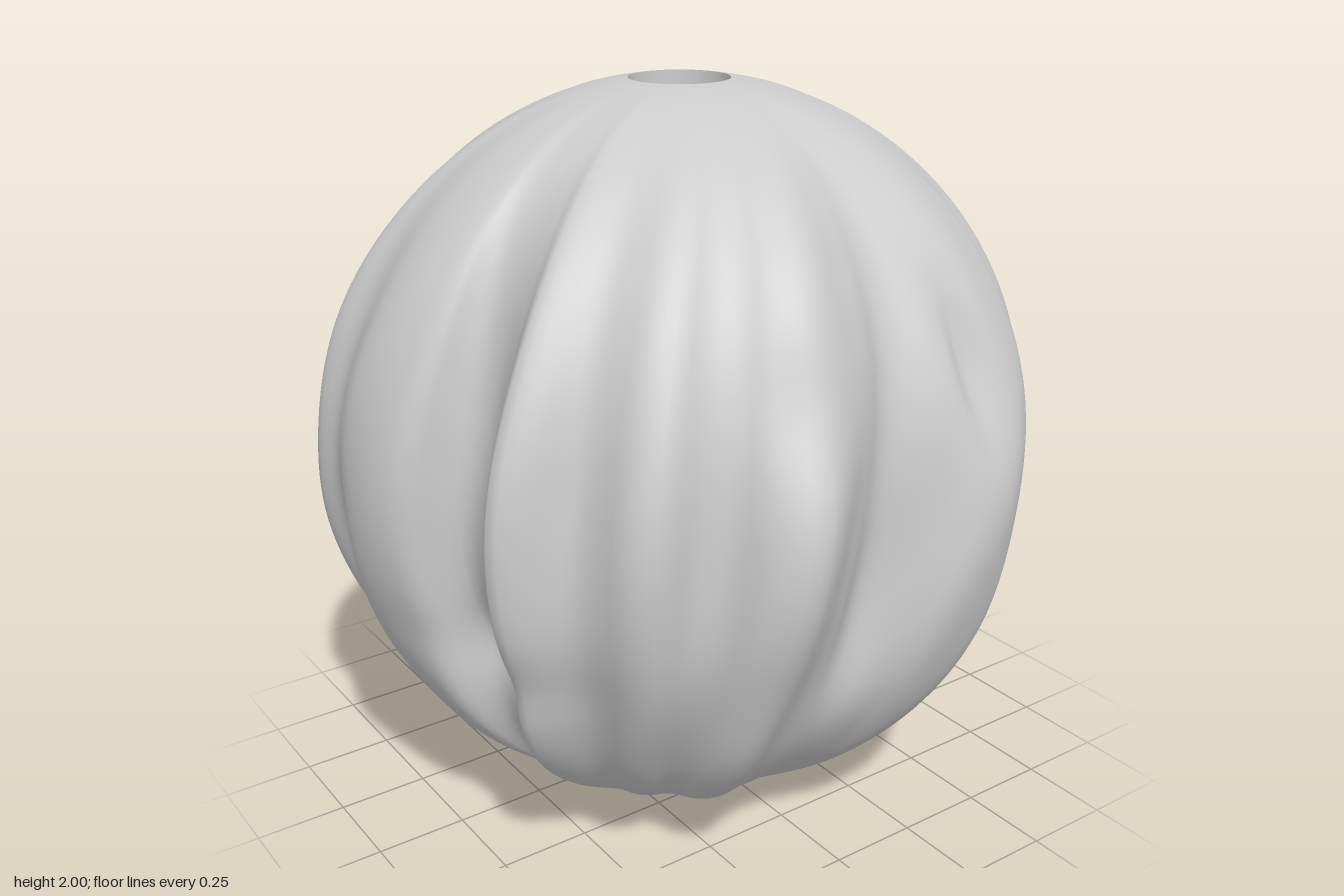
import * as THREE from 'three';

const HOLE = 0.135;
const COLS = 256, ROWS = 80;

// Fluted outline at the waist, as x, z pairs
const OUTLINE = [
  0.81, 0, 0.87, -0.12, 0.925, -0.24, 0.91, -0.37, 0.85, -0.5, 0.79, -0.575, 0.69, -0.645, 0.61, -0.71,
  0.54, -0.81, 0.495, -0.835, 0.41, -0.81, 0.335, -0.755, 0.255, -0.735, 0.215, -0.78, 0.195, -0.87,
  0.16, -0.95, 0.11, -0.98, 0.03, -0.96, -0.05, -0.93, -0.12, -0.945, -0.2, -0.985, -0.25, -0.955,
  -0.34, -0.855, -0.395, -0.85, -0.5, -0.87, -0.55, -0.84, -0.605, -0.745, -0.64, -0.58, -0.61, -0.43,
  -0.71, -0.42, -0.92, -0.36, -0.925, -0.185, -0.985, -0.065, -0.975, 0, -0.925, 0.095, -0.925, 0.185,
  -0.955, 0.345, -0.89, 0.4, -0.765, 0.42, -0.67, 0.455, -0.66, 0.53, -0.67, 0.62, -0.62, 0.715,
  -0.5, 0.79, -0.46, 0.86, -0.405, 0.915, -0.29, 0.91, -0.09, 0.973, 0.12, 0.94, 0.16, 0.91,
  0.18, 0.845, 0.21, 0.795, 0.295, 0.783, 0.4, 0.815, 0.505, 0.873, 0.55, 0.82, 0.6, 0.715,
  0.655, 0.69, 0.745, 0.667, 0.785, 0.61, 0.785, 0.513, 0.82, 0.46, 0.92, 0.41, 0.98, 0.32, 0.875, 0.12,
];

// Local dents (negative depth swells): angle, height, angular width, height spread, depth
const DENTS = [
  [-0.35, 1.4, 0.06, 0.2, 0.07],
  [-0.6, 0.65, 0.1, 0.3, 0.05],
  [1.2, 0.66, 0.25, 0.1, 0.04],
  [1.2, 0.4, 0.18, 0.16, -0.04],
  [0.75, 0.45, 0.14, 0.25, 0.03],
  [0.3, 1.4, 0.15, 0.17, 0.04],
  [0.3, 0.6, 0.15, 0.2, 0.03],
  [0.1, 0.5, 0.12, 0.2, -0.04],
  [-2.95, 1.5, 0.16, 0.16, 0.04],
  [-2.4, 0.6, 0.2, 0.25, -0.03],
];

function bodyGeometry() {
  const pts = [];
  for (let i = 0; i < OUTLINE.length; i += 2) pts.push(new THREE.Vector3(OUTLINE[i], 0, OUTLINE[i + 1]));
  const waist = new THREE.CatmullRomCurve3(pts, true, 'centripetal');
  const ring = waist.getSpacedPoints(COLS).slice(0, COLS);

  const positions = [], index = [];
  const start = Math.asin(HOLE);
  for (let j = 0; j <= ROWS; j++) {
    const phi = start + (Math.PI - 2 * start) * j / ROWS;
    const s = Math.sin(phi);
    const y = 1 + Math.cos(phi) / Math.cos(start);
    const fade = Math.max(0, (s - HOLE) / (1 - HOLE));
    for (const p of ring) {
      const r0 = Math.hypot(p.x, p.z);
      const a0 = Math.atan2(p.z, p.x);
      // Flutes fade towards the poles and wander a little with height
      const vary = 1.03 + 0.16 * Math.sin(2 * a0 + 4 * y) * Math.sin(5 * a0 - 3 * y);
      let r = 1 - (1 - r0) * Math.pow(fade, 1.15) * vary;
      r += 0.008 * fade * Math.sin(15 * a0 + 4 * y) * Math.sin(5 * y + 2 * a0);
      const a = a0 + 0.18 * (1 - y) * Math.max(0, Math.cos(a0)) ** 2 + 0.02 * fade * Math.sin(4 * y + 3 * a0);
      for (const [da, dy, wa, wy, depth] of DENTS) {
        r -= depth * fade * Math.exp(-(((a - da) / wa) ** 2) - ((y - dy) / wy) ** 2);
      }
      positions.push(s * r * Math.cos(a), y, s * r * Math.sin(a));
    }
  }
  for (let j = 0; j < ROWS; j++) {
    for (let i = 0; i < COLS; i++) {
      const k = (i + 1) % COLS;
      const a = j * COLS + i, b = a + COLS, c = (j + 1) * COLS + k, d = j * COLS + k;
      index.push(a, b, d, b, c, d);
    }
  }
  const geo = new THREE.BufferGeometry();
  geo.setAttribute('position', new THREE.Float32BufferAttribute(positions, 3));
  geo.setIndex(index);
  geo.computeVertexNormals();
  return geo;
}

export function createModel() {
  const group = new THREE.Group();
  group.name = 'flutedBead';
  const grey = new THREE.MeshStandardMaterial({ color: 0xcccccc, side: THREE.DoubleSide });
  grey.name = 'light grey';

  const body = new THREE.Mesh(bodyGeometry(), grey);
  body.name = 'body';

  // Straight bore from top to bottom
  const bore = new THREE.Mesh(new THREE.CylinderGeometry(HOLE, HOLE, 2, 64, 1, true), grey);
  bore.name = 'bore';
  bore.position.y = 1;

  group.add(body, bore);
  return group;
}
